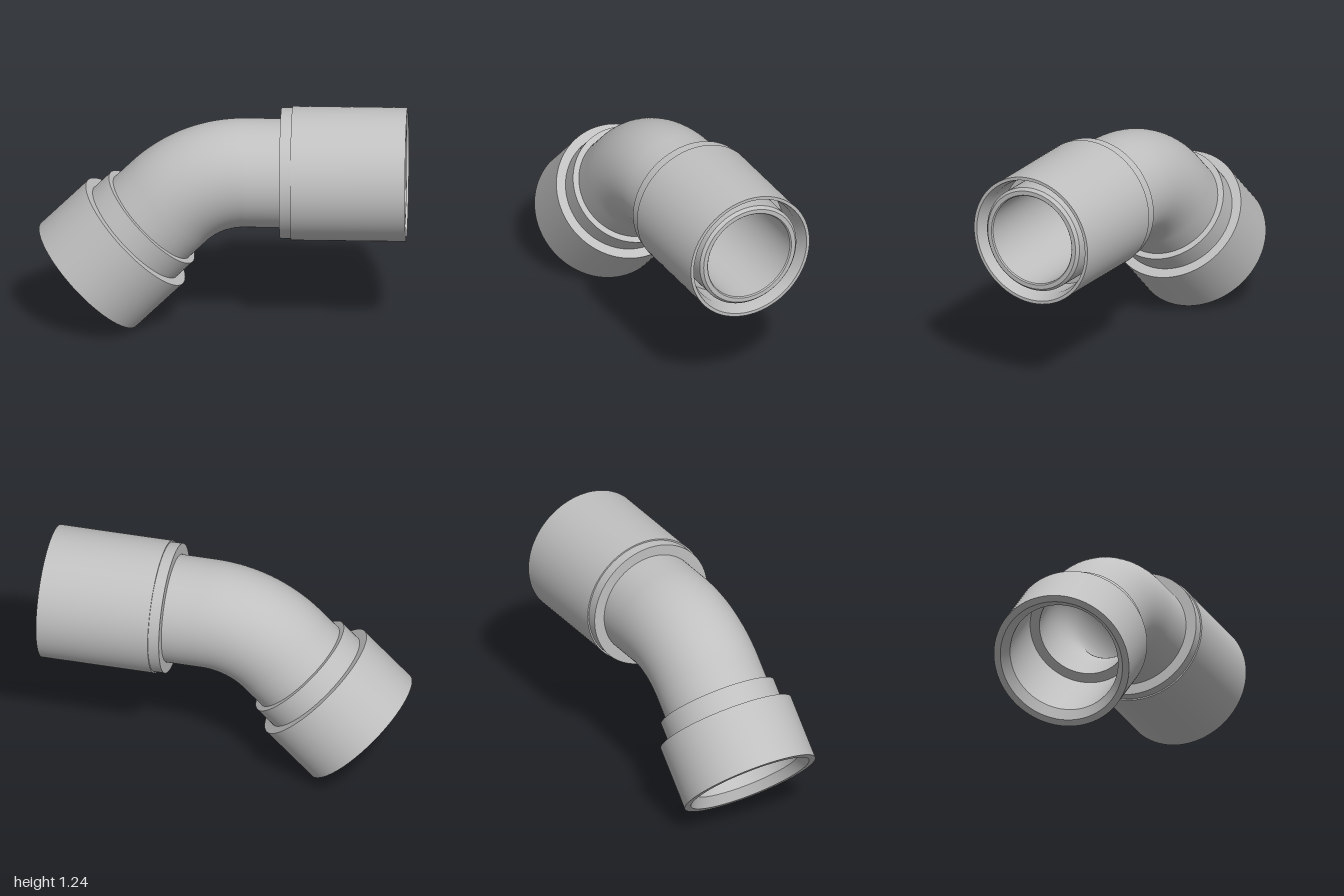
import * as THREE from 'three';
import { toCreasedNormals } from 'three/addons/utils/BufferGeometryUtils.js';

const PIPE_R = 0.297, BORE_R = 0.252, BEND_R = 0.58;
const BEND_X = 0.12, AXIS_Y = 0.88;

export function createModel() {
  const grey = new THREE.MeshStandardMaterial({ color: 0xc0c0c0, side: THREE.DoubleSide });
  grey.name = 'plastic grey';
  const model = new THREE.Group();
  model.name = 'pipeElbow';

  const add = (parent, name, geometry) => {
    const mesh = new THREE.Mesh(geometry, grey);
    mesh.name = name;
    parent.add(mesh);
    return mesh;
  };
  // Turned part from [radius, distance along axis] pairs, with sharp steps
  const turned = (points) => toCreasedNormals(
    new THREE.LatheGeometry(points.map(([r, d]) => new THREE.Vector2(r, d)), 96), 0.5);

  // 45 degree bend: outer skin and inner bore
  for (const [name, radius] of [['bendOuter', PIPE_R], ['bendBore', BORE_R]]) {
    const bend = add(model, name, new THREE.TorusGeometry(BEND_R, radius, 96, 40, Math.PI / 4));
    bend.rotation.z = Math.PI / 2;
    bend.position.set(BEND_X, AXIS_Y - BEND_R, 0);
  }

  // Horizontal end, local +y runs outward along +x
  const upperEnd = new THREE.Group();
  upperEnd.name = 'upperEnd';
  upperEnd.position.set(BEND_X, AXIS_Y, 0);
  upperEnd.rotation.z = -Math.PI / 2;
  model.add(upperEnd);
  add(upperEnd, 'upperPipe', turned([
    [PIPE_R, 0], [PIPE_R, 0.855], [0.282, 0.872], [0.258, 0.872], [BORE_R, 0.865], [BORE_R, 0],
  ]));
  add(upperEnd, 'collar', turned([
    [PIPE_R, 0.195], [0.357, 0.195], [0.357, 0.255], [0.365, 0.255], [0.365, 0.88],
    [0.347, 0.88], [0.328, 0.81], [0.328, 0.64], [PIPE_R, 0.64],
  ]));

  // Sloping end, local +y runs outward, down and to the side
  const lowerEnd = new THREE.Group();
  lowerEnd.name = 'lowerEnd';
  const s = BEND_R * Math.SQRT1_2;
  lowerEnd.position.set(BEND_X - s, AXIS_Y - BEND_R + s, 0);
  lowerEnd.rotation.z = Math.PI * 0.75;
  model.add(lowerEnd);
  add(lowerEnd, 'steppedSocket', turned([
    [BORE_R, 0], [PIPE_R, 0], [PIPE_R, 0.137], [0.33, 0.137], [0.33, 0.262], [0.382, 0.262],
    [0.382, 0.622], [0.345, 0.622], [0.305, 0.57], [0.305, 0.17], [BORE_R, 0.17], [BORE_R, 0],
  ]));

  return model;
}
